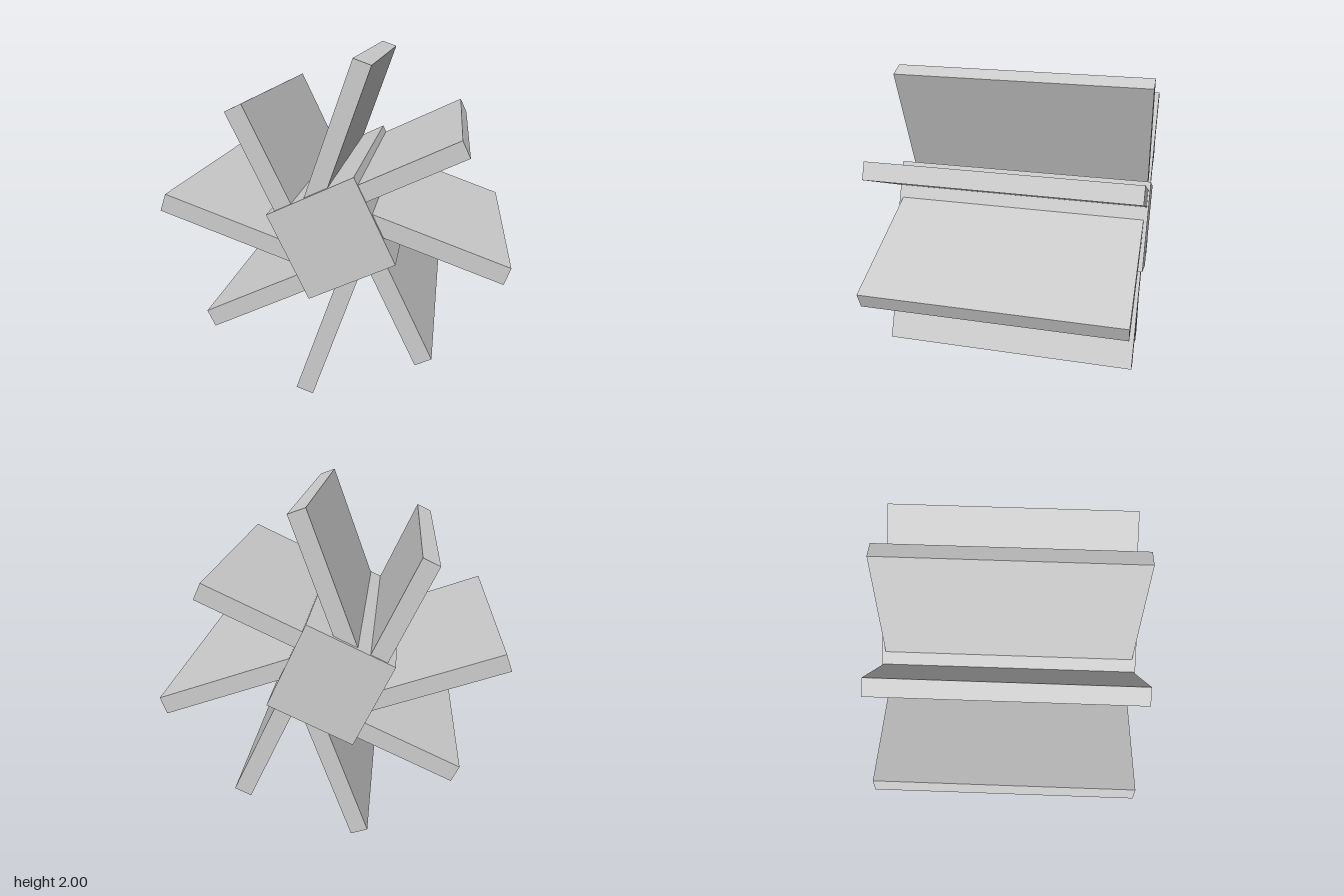
import * as THREE from 'three';

const material = new THREE.MeshStandardMaterial({ color: 0xcccccc, flatShading: true });
const rad = THREE.MathUtils.degToRad;

// Flat paddle running from radius r0 to r1, shifted sideways off the axle centre
function paddle(name, angle, r0, r1, offset, thickness, depth) {
  const geometry = new THREE.BoxGeometry(r1 - r0, thickness, depth);
  geometry.translate((r0 + r1) / 2, offset, 0);
  const mesh = new THREE.Mesh(geometry, material);
  mesh.name = name;
  mesh.rotation.z = rad(angle);
  return mesh;
}

export function createModel() {
  const model = new THREE.Group();
  model.name = 'paddleWheel';

  // Square axle, tilted
  const hub = new THREE.Mesh(new THREE.BoxGeometry(0.55, 0.55, 1.6), material);
  hub.name = 'hub';
  hub.rotation.z = rad(25.4);
  model.add(hub);

  // Four long and four short paddles, a quarter turn apart
  for (let i = 0; i < 4; i++) {
    model.add(paddle('longPaddle' + i, 70.3 + i * 90, 0.12, 0.982, 0.17, 0.106, 1.555));
    model.add(paddle('shortPaddle' + i, 25.4 + i * 90, 0.12, 0.888, 0.172, 0.106, 1.578));
  }

  model.position.y = 1;
  const root = new THREE.Group();
  root.add(model);
  return root;
}
